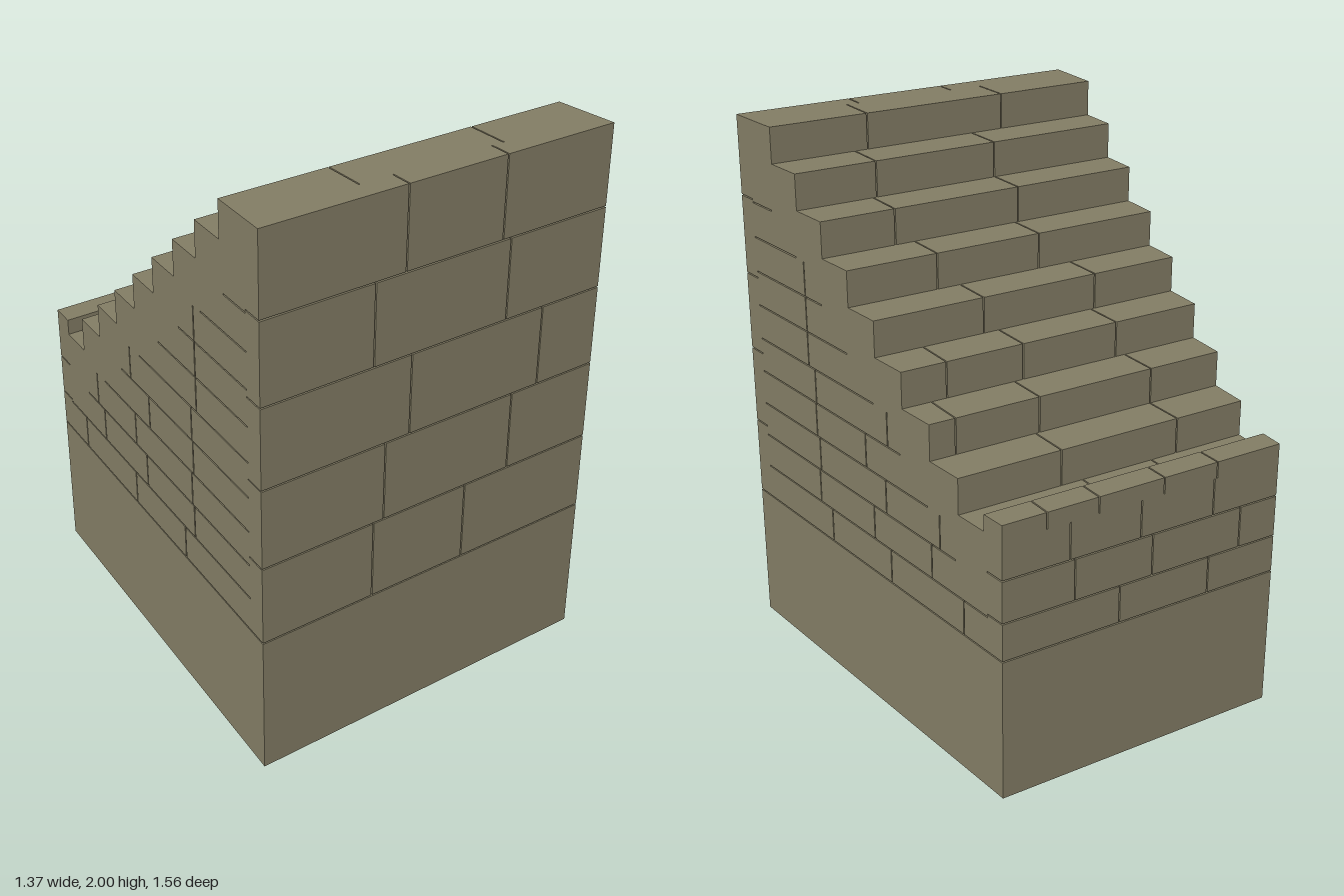
import * as THREE from 'three';

const stone = new THREE.MeshStandardMaterial({ color: 0x827c64 });
stone.name = 'stone';

const FRONT = 0.78, BACK = -0.78, WALL = 0.08, GAP = 0.005;
const BASE = 0.525, RISE = 0.13, RUN = 0.156, LIP = 0.045;

// half width of the tapered plan at depth z
const half = z => 0.62 + (z / FRONT) * 0.0625;

// block whose left and right faces follow functions of z
function block(parent, name, xa, xb, y0, y1, z0, z1) {
  const g = new THREE.BoxGeometry(1, 1, 1);
  const p = g.attributes.position;
  for (let i = 0; i < p.count; i++) {
    const z = p.getZ(i) > 0 ? z1 : z0;
    const x = p.getX(i) > 0 ? xb(z) : xa(z);
    p.setXYZ(i, x, p.getY(i) > 0 ? y1 : y0, z);
  }
  g.computeVertexNormals();
  const m = new THREE.Mesh(g, stone);
  m.name = name;
  parent.add(m);
}

// course of blocks across the full width, split at the given x joints
function crossCourse(parent, name, joints, y0, y1, z0, z1) {
  const edges = [z => -half(z), ...joints.map(j => () => j), z => half(z)];
  for (let i = 0; i < edges.length - 1; i++) {
    const a = edges[i], b = edges[i + 1];
    const xa = i > 0 ? z => a(z) + GAP / 2 : a;
    const xb = i < edges.length - 2 ? z => b(z) - GAP / 2 : b;
    block(parent, name, xa, xb, y0, y1, z0, z1);
  }
}

// course along both side walls, split at the given z joints
function sideCourse(parent, joints, y0, y1, z0, z1) {
  const cuts = [z0, ...joints.filter(j => j > z0 + 0.03).sort((a, b) => a - b), z1];
  for (let i = 0; i < cuts.length - 1; i++) {
    const a = cuts[i] + (i > 0 ? GAP / 2 : 0);
    const b = cuts[i + 1] - (i < cuts.length - 2 ? GAP / 2 : 0);
    block(parent, 'leftWallBlock', z => half(z) - WALL, half, y0, y1, a, b);
    block(parent, 'rightWallBlock', z => -half(z), z => WALL - half(z), y0, y1, a, b);
  }
}

function group(root, name) {
  const g = new THREE.Group();
  g.name = name;
  root.add(g);
  return g;
}

export function createModel() {
  const root = new THREE.Group();
  root.name = 'steppedStoneBlock';
  const inFront = FRONT - WALL, inBack = BACK + WALL;

  // plain hollow base, open below
  const base = group(root, 'base');
  crossCourse(base, 'baseFront', [], 0, BASE, inFront, FRONT);
  crossCourse(base, 'baseBack', [], 0, BASE, BACK, inBack);
  sideCourse(base, [], 0, BASE, inBack, inFront);

  // tall front wall
  const front = group(root, 'frontWall');
  const frontJoints = [[-0.245, 0.14], [-0.205, 0.325], [-0.11, 0.435], [-0.26, 0.275], [-0.145, 0.24]];
  const rowH = (2 - BASE) / frontJoints.length;
  frontJoints.forEach((j, i) => {
    const y = BASE + i * rowH;
    crossCourse(front, 'frontWallBlock', j, y + GAP, y + rowH, inFront, FRONT);
  });

  // low back wall and its coping
  const back = group(root, 'backWall');
  const backY = [BASE, 0.665, 0.82, 0.96];
  [[-0.27, 0.1], [-0.4, -0.03, 0.28], [-0.28, 0.02, 0.3]].forEach((j, i) =>
    crossCourse(back, 'backWallBlock', j, backY[i] + GAP, backY[i + 1], BACK, inBack));
  crossCourse(back, 'copingStone', [-0.29, -0.07, 0.19, 0.39], 0.96, 1.02, BACK, -0.685);

  // steps, lowest at the back
  const steps = group(root, 'steps');
  const treadJoints = [
    [-0.19, 0.095], [-0.295, 0.18], [-0.295, 0.165, 0.49], [-0.255, 0.13, 0.43], [-0.27, 0.19],
    [-0.135, 0.28], [-0.147, 0.355], [-0.143, 0.34], [-0.27, 0.288],
  ];
  const riser = k => -0.703 + k * RUN;
  treadJoints.forEach((j, k) => {
    const top = 0.96 + k * RISE;
    const z0 = k === 0 ? inBack : riser(k);
    const z1 = Math.min(riser(k + 1) + 0.02, inFront);
    crossCourse(steps, 'step', j, top - RISE - LIP, top, z0, z1);
  });

  // side wall courses running back from the front wall to each step
  const sides = group(root, 'sideWalls');
  const sideJoints = [
    [0.245, -0.14, -0.57], [0.32, -0.04, -0.39], [0.31, -0.12, -0.44], [0.325, 0, -0.385],
    [0.32, -0.14], [0.36, -0.09], [0.36], [0.36], [0.365], [],
  ];
  sideJoints.forEach((j, i) => {
    const y = BASE + i * RISE;
    const z0 = i < 2 ? inBack : riser(i - 1) + 0.02;
    sideCourse(sides, j, y + GAP, y + RISE, z0, inFront);
  });

  return root;
}
